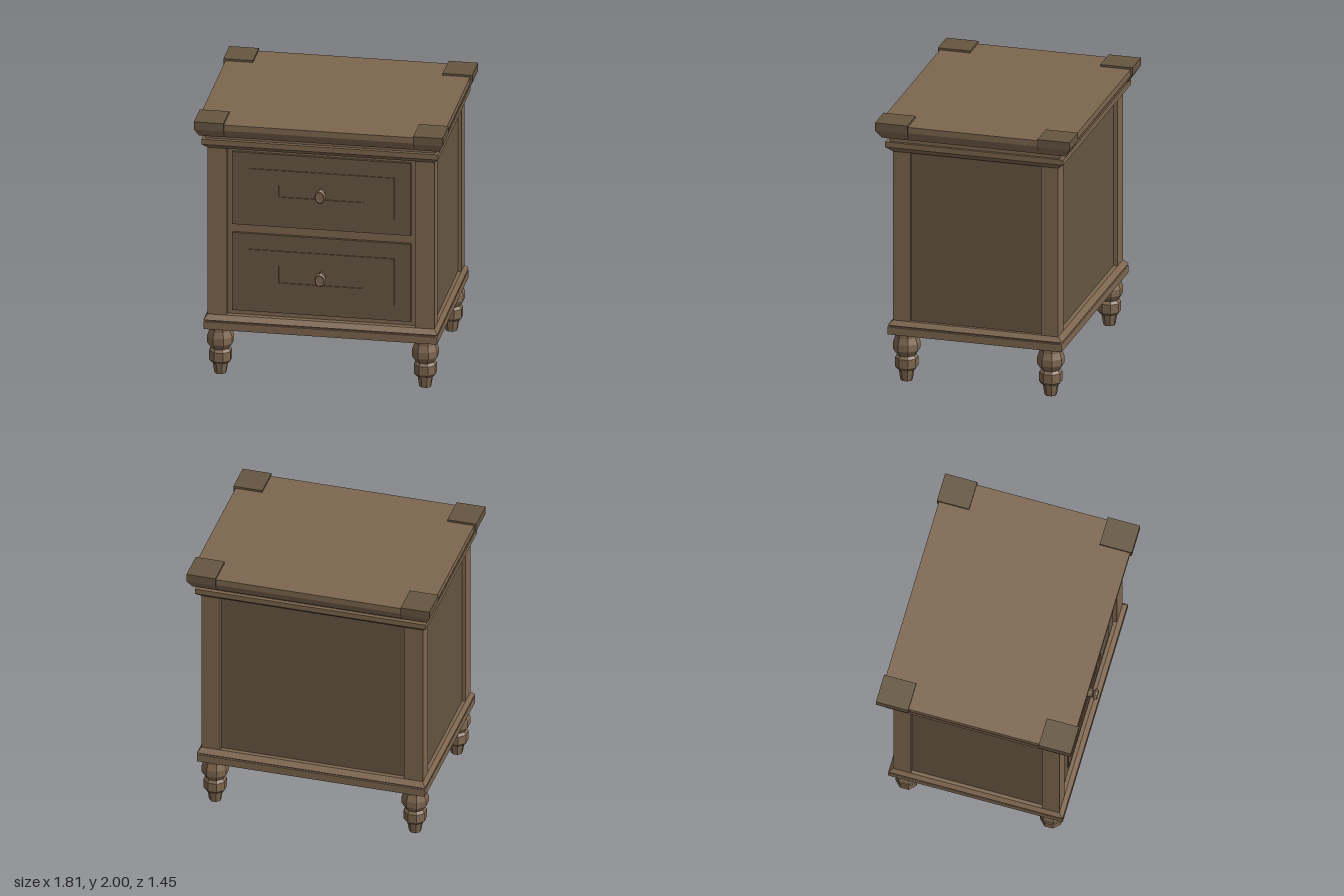
import * as THREE from 'three';

const wood = new THREE.MeshStandardMaterial({ color: 0x7d664f, flatShading: true });
const darkWood = new THREE.MeshStandardMaterial({ color: 0x665641, flatShading: true });

export function createModel() {
  const group = new THREE.Group();
  group.name = 'nightstand';

  function add(name, geometry, material = wood) {
    const mesh = new THREE.Mesh(geometry, material);
    mesh.name = name;
    group.add(mesh);
    return mesh;
  }

  // Box given by its ranges on each axis
  function box(name, x0, x1, y0, y1, z0, z1, material) {
    const mesh = add(name, new THREE.BoxGeometry(x1 - x0, y1 - y0, z1 - z0), material);
    mesh.position.set((x0 + x1) / 2, (y0 + y1) / 2, (z0 + z1) / 2);
    return mesh;
  }

  // Centred rectangular tier whose half sizes change from bottom to top
  function tier(name, y0, hx0, hz0, y1, hx1 = hx0, hz1 = hz0) {
    const geometry = new THREE.BoxGeometry(2, 1, 2);
    const p = geometry.attributes.position;
    for (let i = 0; i < p.count; i++) {
      const top = p.getY(i) > 0;
      p.setXYZ(i, p.getX(i) * (top ? hx1 : hx0), top ? y1 : y0, p.getZ(i) * (top ? hz1 : hz0));
    }
    geometry.computeVertexNormals();
    return add(name, geometry);
  }

  // Base moulding
  tier('plinth', 0.37, 0.85, 0.65, 0.427);
  tier('plinthGroove', 0.427, 0.835, 0.635, 0.44);
  tier('plinthBevel', 0.44, 0.85, 0.65, 0.475, 0.825, 0.617);

  // Carcass with recessed side and back panels
  tier('carcass', 0.475, 0.785, 0.575, 1.77);
  for (const s of [-1, 1]) {
    box('sidePanel', s * 0.79 - 0.01, s * 0.79 + 0.01, 0.475, 1.765, -0.49, 0.49, darkWood);
  }
  box('backPanel', -0.69, 0.69, 0.475, 1.765, -0.585, -0.565, darkWood);

  // Top moulding and slab
  tier('lowerCornice', 1.765, 0.825, 0.617, 1.805, 0.86, 0.665);
  tier('corniceBand', 1.805, 0.86, 0.665, 1.845);
  tier('corniceNeck', 1.845, 0.84, 0.635, 1.88);
  tier('upperCornice', 1.88, 0.87, 0.682, 1.94, 0.89, 0.712);
  tier('topSlab', 1.94, 0.89, 0.712, 1.985);

  // Turned leg profile, eight sided
  const legProfile = [
    [0, 0], [0.042, 0], [0.055, 0.085], [0.065, 0.085], [0.08, 0.105], [0.08, 0.175],
    [0.065, 0.195], [0.094, 0.24], [0.094, 0.29], [0.078, 0.335], [0.078, 0.372],
  ].map(([r, y]) => new THREE.Vector2(r / 0.95, y));
  const legGeometry = new THREE.LatheGeometry(legProfile, 8, Math.PI / 8);

  // Corner block: outer sides slope inward along the lower edge
  function cornerBlock(sx, sz) {
    const lower = new THREE.BoxGeometry(0.215, 0.06, 0.24);
    const p = lower.attributes.position;
    for (let i = 0; i < p.count; i++) {
      if (p.getY(i) > 0) continue;
      if (p.getX(i) * sx > 0) p.setX(i, p.getX(i) - sx * 0.032);
      if (p.getZ(i) * sz > 0) p.setZ(i, p.getZ(i) - sz * 0.04);
    }
    lower.computeVertexNormals();
    add('cornerBevel', lower).position.set(sx * 0.7975, 1.91, sz * 0.606);
    const cap = add('cornerBlock', new THREE.BoxGeometry(0.215, 0.06, 0.24), darkWood);
    cap.position.set(sx * 0.7975, 1.97, sz * 0.606);
  }

  // Posts, legs and corner blocks at all four corners
  for (const sx of [-1, 1]) {
    for (const sz of [-1, 1]) {
      const post = add('cornerPost', new THREE.BoxGeometry(0.14, 1.295, 0.13));
      post.position.set(sx * 0.755, 1.12, sz * 0.552);
      add('leg', legGeometry).position.set(sx * 0.745, 0, sz * 0.538);
      cornerBlock(sx, sz);
    }
  }

  // Rectangle outline for the raised frame on each drawer
  function rectangle(Type, hx, hy) {
    return new Type([[-hx, -hy], [hx, -hy], [hx, hy], [-hx, hy]].map(([x, y]) => new THREE.Vector2(x, y)));
  }

  // Knob profile, turned towards the front and squeezed to an oval
  const knobGeometry = new THREE.LatheGeometry([
    [0, 0], [0.04, 0], [0.04, 0.045], [0.032, 0.05], [0.054, 0.06],
    [0.054, 0.07], [0.042, 0.084], [0.03, 0.08], [0, 0.08],
  ].map(([r, y]) => new THREE.Vector2(r, y)), 12);
  knobGeometry.rotateX(Math.PI / 2);
  knobGeometry.scale(0.75, 1, 1);

  // Drawers
  for (const [y0, y1] of [[0.51, 1.11], [1.175, 1.735]]) {
    const mid = (y0 + y1) / 2;
    const half = (y1 - y0) / 2;
    box('drawerFront', -0.65, 0.65, y0, y1, 0.55, 0.595, darkWood);
    const frame = rectangle(THREE.Shape, 0.53, half - 0.12);
    frame.holes.push(rectangle(THREE.Path, 0.31, half - 0.235));
    const frameGeometry = new THREE.ExtrudeGeometry(frame, { depth: 0.008, bevelEnabled: false });
    add('drawerFrame', frameGeometry, darkWood).position.set(0, mid, 0.594);
    add('knob', knobGeometry).position.set(0, mid, 0.585);
  }

  return group;
}
